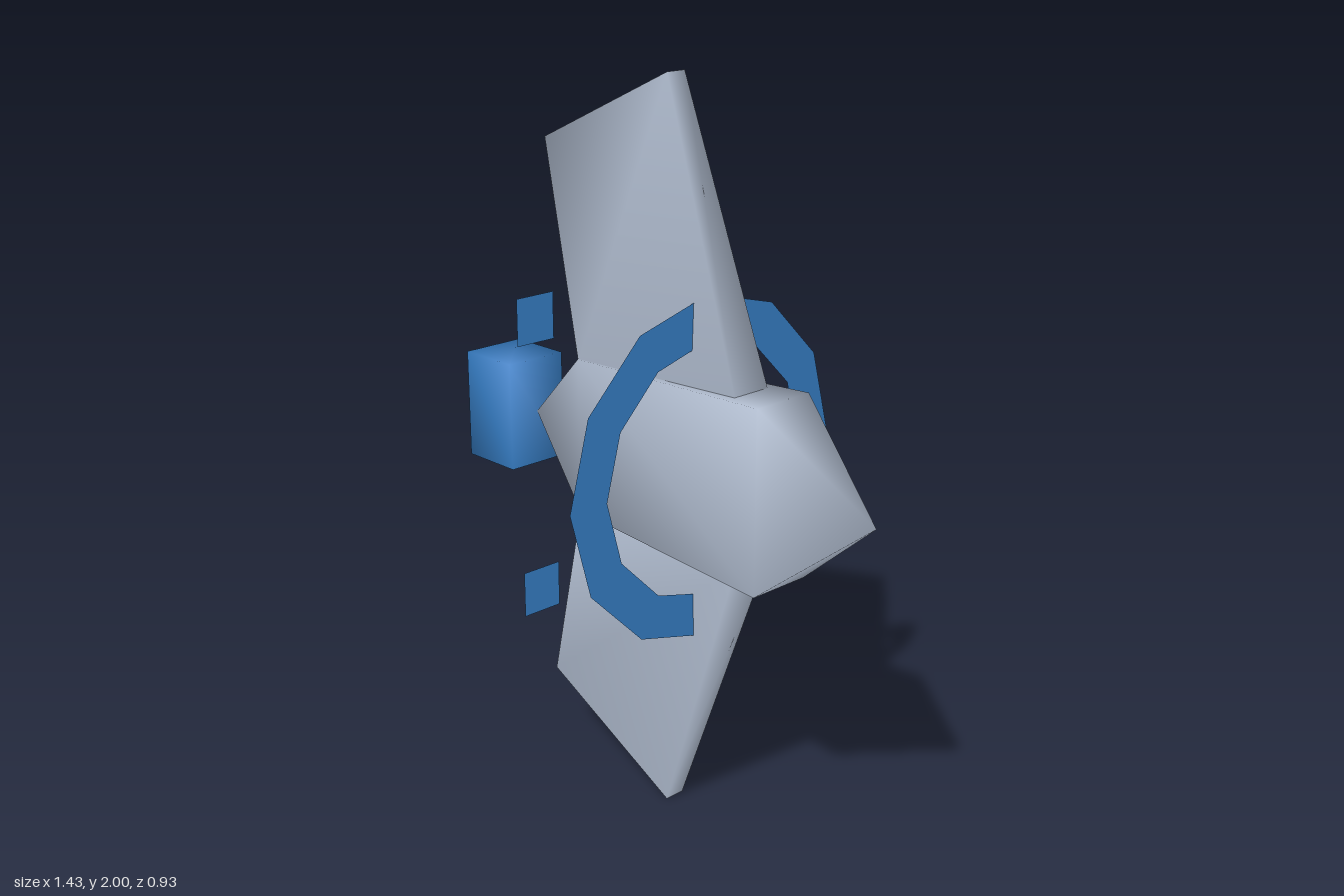
import * as THREE from 'three';
import { mergeVertices } from 'three/addons/utils/BufferGeometryUtils.js';

// Smooth-shaded solid through a row of four-cornered cross-sections
function loft(sections) {
  const positions = sections.flat(2);
  const index = [];
  const last = (sections.length - 1) * 4;
  for (let s = 0; s < last; s += 4) {
    for (let i = 0; i < 4; i++) {
      const a = s + i, b = s + (i + 1) % 4;
      index.push(a, a + 4, b, b, a + 4, b + 4);
    }
  }
  index.push(0, 1, 2, 0, 2, 3, last, last + 2, last + 1, last, last + 3, last + 2);
  const geometry = new THREE.BufferGeometry();
  geometry.setAttribute('position', new THREE.Float32BufferAttribute(positions, 3));
  geometry.setIndex(index);
  const merged = mergeVertices(geometry);
  merged.computeVertexNormals();
  return merged;
}

// Rectangle across the x axis, centred on the hull line at y = 1
const slice = (x, h, d) => [[x, 1 + h, d], [x, 1 + h, -d], [x, 1 - h, -d], [x, 1 - h, d]];

export function createModel() {
  const model = new THREE.Group();
  const hullGrey = new THREE.MeshStandardMaterial({ color: 0xb0bccf });
  hullGrey.name = 'hull grey';
  const blue = new THREE.MeshStandardMaterial({ color: 0x3a85d0, side: THREE.DoubleSide });
  blue.name = 'engine blue';

  const add = (name, geometry, material, x = 0, y = 0, z = 0) => {
    const mesh = new THREE.Mesh(geometry, material);
    mesh.name = name;
    mesh.position.set(x, y, z);
    model.add(mesh);
    return mesh;
  };

  // Hull: slim box tapering to a point at both ends
  add('hull', loft([
    slice(-0.53, 0, 0),
    slice(-0.28, 0.218, 0.062),
    slice(0.405, 0.247, 0.093),
    slice(0.71, 0, 0),
  ]), hullGrey);

  // Wings: swept back, tapering to a sharp rear tip, measured from the hull line
  const wing = loft([
    [[0.31, 0.21, 0.06], [-0.28, 0.21, 0.06], [-0.28, 0.21, -0.06], [0.31, 0.21, -0.06]],
    [[0.03, 1, 0.03], [-0.47, 0.782, 0], [-0.47, 0.782, 0], [0.03, 1, -0.03]],
  ]);
  add('upperWing', wing, hullGrey, 0, 1, 0);
  add('lowerWing', wing, hullGrey, 0, 1, 0).rotation.x = Math.PI;

  // Flat twelve-sided ring around the hull
  add('ring', new THREE.RingGeometry(0.345, 0.465, 12).rotateY(Math.PI / 2), blue, 0.147, 1, 0);

  // Small flat panels beside the wings
  for (const side of [1, -1]) {
    add(side > 0 ? 'upperPanel' : 'lowerPanel',
      new THREE.PlaneGeometry(0.12, 0.125).rotateY(Math.PI / 2), blue, -0.225, 1 + side * 0.375, 0.25);
  }

  // Engine block behind the tail
  add('engine', loft([slice(-0.095, 0.154, 0.094), slice(0.095, 0.154, 0.094)]), blue, -0.625, 0, 0);

  return model;
}
